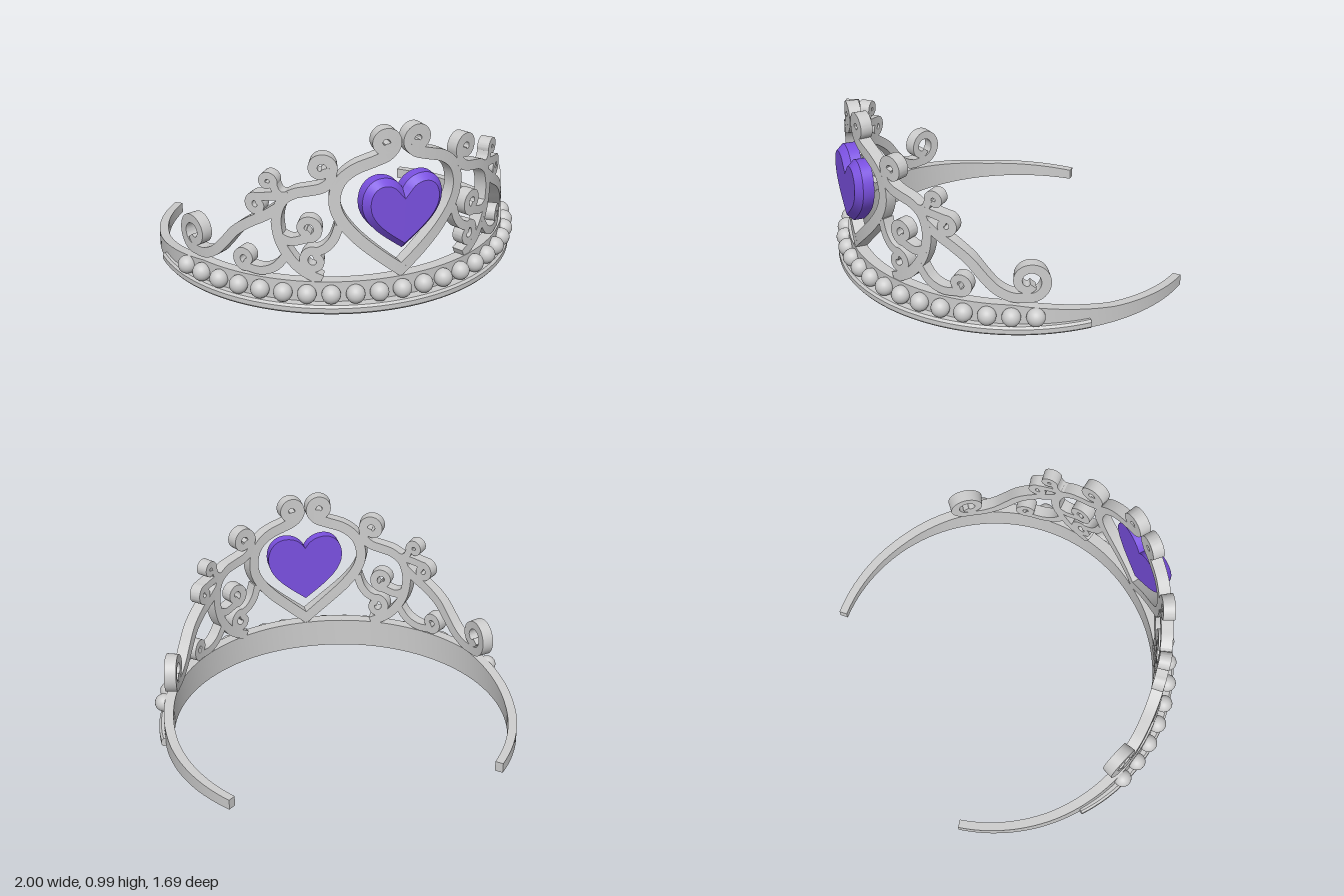
import * as THREE from 'three';
import { toCreasedNormals } from 'three/addons/utils/BufferGeometryUtils.js';

const grey = new THREE.MeshStandardMaterial({ color: 0xcccccc });
const purple = new THREE.MeshStandardMaterial({ color: 0x7a50e0 });
const R = 0.97;   // outer radius of the head circle
const CZ = -0.2;  // z of its centre
const rad = THREE.MathUtils.degToRad;

// Point at an angle round the head (0 = front), a height and a radius
const place = (a, y, r) => new THREE.Vector3(r * Math.sin(a), y, CZ + r * Math.cos(a));

// Joins cross-section rings into a closed solid with end caps
function loft(rings, crease = 0.6) {
  const pos = [];
  const tri = (...p) => p.forEach((v) => pos.push(v.x, v.y, v.z));
  const n = rings[0].length;
  for (let i = 0; i < rings.length - 1; i++) {
    for (let j = 0; j < n; j++) {
      const k = (j + 1) % n;
      const a = rings[i][j], b = rings[i][k], c = rings[i + 1][k], d = rings[i + 1][j];
      tri(a, b, c);
      tri(a, c, d);
    }
  }
  const s = rings[0], e = rings[rings.length - 1];
  for (let j = 1; j < n - 1; j++) {
    tri(s[0], s[j + 1], s[j]);
    tri(e[0], e[j], e[j + 1]);
  }
  const geo = new THREE.BufferGeometry();
  geo.setAttribute('position', new THREE.Float32BufferAttribute(pos, 3));
  return toCreasedNormals(geo, crease);
}

// Sweeps a [y, radius] section round the head
function arcSweep(end, steps, section) {
  const rings = [];
  for (let i = 0; i <= steps; i++) {
    const a = -end + (2 * end * i) / steps;
    rings.push(section(Math.abs(a)).map(([y, r]) => place(a, y, r)));
  }
  return loft(rings);
}

// Flat scroll wrapped on the head: points are [arc length, height],
// curl is [centre s, centre y, radius, start degrees, sweep degrees]
function scroll(points, curl, width, side) {
  const [cx, cy, r, start, sweep] = curl;
  const path = points.map(([s, y]) => new THREE.Vector2(s * side, y));
  const lead = path.length;
  for (let i = 0; i <= 14; i++) {
    const t = i / 14, a = rad(start + sweep * t), q = r * (1 - 0.68 * t * t);
    path.push(new THREE.Vector2((cx + q * Math.cos(a)) * side, cy + q * Math.sin(a)));
  }
  const curve = new THREE.SplineCurve(path);
  const steps = path.length * 4;
  const curlStart = lead / (path.length - 1);
  const rings = [];
  for (let i = 0; i <= steps; i++) {
    const t = i / steps, p = curve.getPoint(t), d = curve.getTangent(t);
    const taper = 1 - 0.25 * Math.max(0, (t - curlStart) / (1 - curlStart));
    const h = (width / 2) * taper;
    const corner = (k, radius) => place((p.x - d.y * h * k) / R, p.y + d.x * h * k, radius);
    rings.push([corner(1, 0.902), corner(1, 0.968), corner(-1, 0.968), corner(-1, 0.902)]);
  }
  return loft(rings);
}

const scrolls = {
  heartFrame: [[[-0.015, 0.19], [0.12, 0.3], [0.24, 0.41], [0.325, 0.52], [0.353, 0.62], [0.325, 0.72],
    [0.25, 0.785], [0.15, 0.82], [0.08, 0.845]], [0.09, 0.91, 0.055, 215, -390], 0.062],
  loopScroll: [[[0.42, 0.175], [0.51, 0.22], [0.575, 0.28], [0.635, 0.38], [0.655, 0.5], [0.625, 0.6],
    [0.56, 0.65], [0.49, 0.668], [0.42, 0.685], [0.375, 0.72]], [0.418, 0.79, 0.055, 205, -390], 0.055],
  upperCurl: [[[0.59, 0.62], [0.645, 0.645]], [0.7, 0.7, 0.036, 200, -360], 0.042],
  shoulderCurl: [[[0.59, 0.635], [0.68, 0.625]], [0.765, 0.57, 0.043, 100, -380], 0.045],
  sideScroll: [[[0.65, 0.56], [0.72, 0.51], [0.8, 0.465], [0.89, 0.4], [0.965, 0.315], [1.03, 0.25],
    [1.11, 0.21]], [1.205, 0.295, 0.09, -100, 410], 0.055],
  innerCurl: [[[0.645, 0.41], [0.58, 0.385]], [0.49, 0.46, 0.055, -80, -400], 0.048],
  lowerCurl: [[[0.33, 0.48], [0.355, 0.41], [0.395, 0.36]], [0.46, 0.285, 0.055, 110, -390], 0.048],
  footCurl: [[[0.6, 0.31], [0.66, 0.235], [0.74, 0.2]], [0.84, 0.25, 0.048, -110, 390], 0.046],
};

export function createModel() {
  const model = new THREE.Group();
  const add = (name, geo, material = grey, parent = model) => {
    const mesh = new THREE.Mesh(geo, material);
    mesh.name = name;
    parent.add(mesh);
    return mesh;
  };

  // Open head band, lower and thinner towards the back ends
  add('headBand', arcSweep(rad(131.3), 96, (a) => {
    const z = CZ + R * Math.cos(a);
    const top = z > 0.2 ? 0.168
      : z > -0.35 ? THREE.MathUtils.mapLinear(z, 0.2, -0.35, 0.168, 0.09)
        : THREE.MathUtils.mapLinear(z, -0.35, -0.84, 0.09, 0.058);
    const inner = 0.903 + 0.03 * (a / rad(131.3));
    const outer = 0.97 + 0.008 * (a / rad(131.3));
    return [[top, inner], [top, outer], [0, outer], [0, inner]];
  }));

  // Ledge under the beads
  add('lowerRim', arcSweep(Math.PI / 2, 72, (a) => {
    const outer = 1.032 - 0.032 * (1 - Math.cos(a));
    return [[0.056, 0.95], [0.056, outer - 0.012], [0.044, outer], [0.018, outer], [0.008, outer - 0.008], [0.008, 0.95]];
  }));

  // Row of beads round the front
  const beads = new THREE.Group();
  beads.name = 'beads';
  model.add(beads);
  const beadGeo = new THREE.SphereGeometry(0.05, 24, 16);
  for (let i = -10; i <= 10; i++) {
    add('bead', beadGeo, grey, beads).position.copy(place(rad(i * 7.3), 0.105, 0.99));
  }

  // Mirrored scrollwork
  for (const side of [1, -1]) {
    const half = new THREE.Group();
    half.name = side > 0 ? 'leftScrollwork' : 'rightScrollwork';
    model.add(half);
    for (const [name, [points, curl, width]] of Object.entries(scrolls)) {
      add(name, scroll(points, curl, width, side), grey, half);
    }
  }

  // Heart gem, chamfered in front and flat behind
  const heart = new THREE.Shape();
  heart.moveTo(0, 0.33);
  heart.bezierCurveTo(0.09, 0.4, 0.222, 0.485, 0.222, 0.6);
  heart.bezierCurveTo(0.222, 0.685, 0.17, 0.73, 0.115, 0.73);
  heart.bezierCurveTo(0.06, 0.73, 0.02, 0.7, 0, 0.66);
  heart.bezierCurveTo(-0.02, 0.7, -0.06, 0.73, -0.115, 0.73);
  heart.bezierCurveTo(-0.17, 0.73, -0.222, 0.685, -0.222, 0.6);
  heart.bezierCurveTo(-0.222, 0.485, -0.09, 0.4, 0, 0.33);
  const gemGeo = new THREE.ExtrudeGeometry(heart, {
    depth: 0.06, curveSegments: 10, bevelSegments: 1, bevelSize: 0.032, bevelOffset: -0.032, bevelThickness: 0.038,
  });
  const p = gemGeo.attributes.position;
  for (let i = 0; i < p.count; i++) p.setZ(i, Math.max(0, p.getZ(i)));
  add('heartGem', toCreasedNormals(gemGeo, 0.45), purple).position.z = 0.712;

  return model;
}
